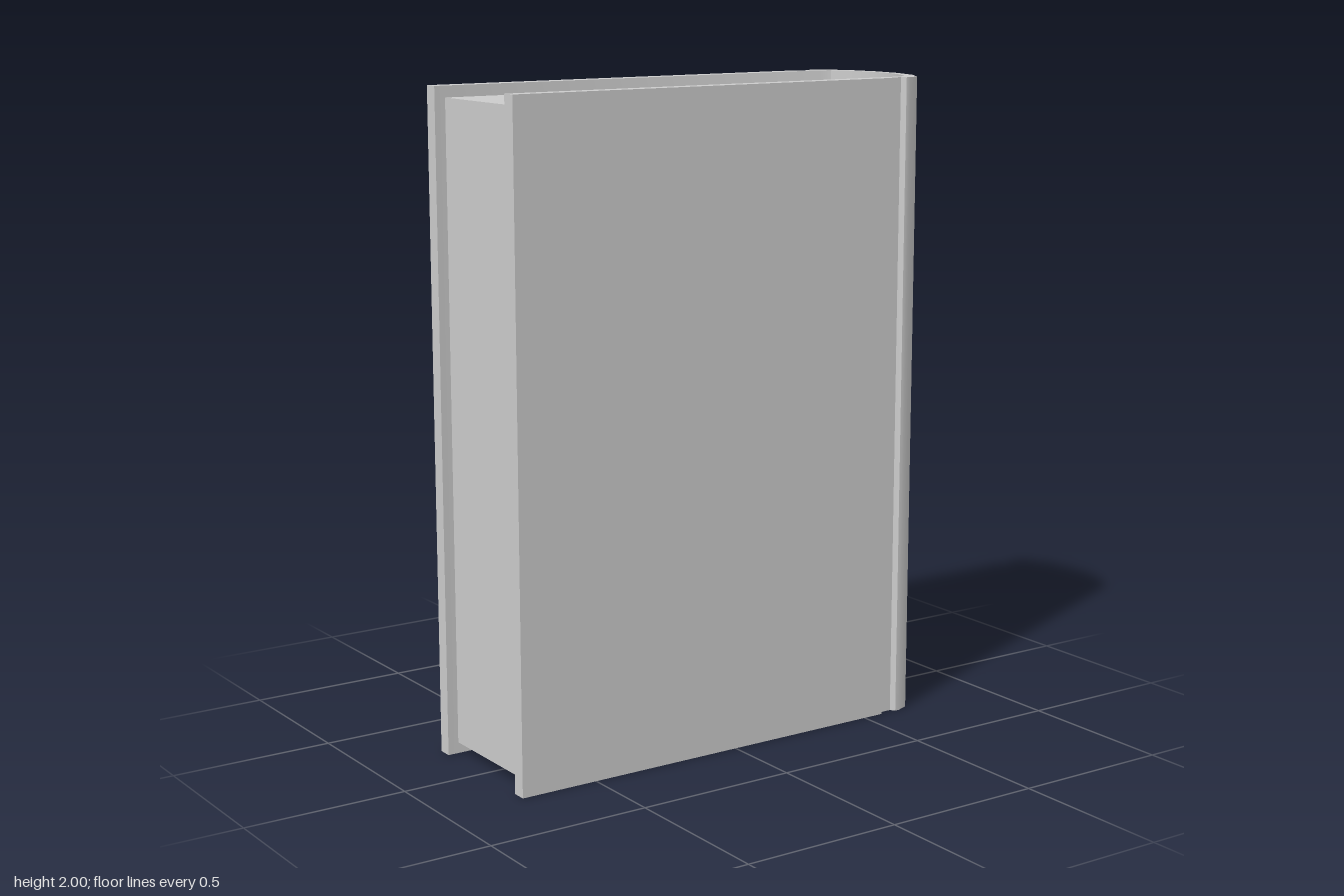
import * as THREE from 'three';
import { toCreasedNormals } from 'three/addons/utils/BufferGeometryUtils.js';

const HEIGHT = 2;
const INSET = 0.034; // how far the pages sit back from the cover edges
const COVER_EDGE = -0.748;

// Half outlines [x, z], from the fore edge round to the middle of the spine
const outerHalf = [
  [COVER_EDGE, 0.242], [0.568, 0.242], [0.578, 0.227], [0.614, 0.227], [0.624, 0.242],
  [0.638, 0.242], [0.678, 0.226], [0.722, 0.149], [0.746, 0.053],
];
const spineInnerHalf = [[0.636, 0.198], [0.664, 0.182], [0.7, 0.117], [0.72, 0.046]];

// Completes a half outline with its mirror image
const mirrored = (half) => [...half, ...half.map(([x, z]) => [x, -z]).reverse()];

// Extrudes an outline upwards, smoothing the round spine but keeping sharp edges
function upright(points, bottom, top) {
  const shape = new THREE.Shape(points.map(([x, z]) => new THREE.Vector2(x, z)));
  const geometry = new THREE.ExtrudeGeometry(shape, { depth: top - bottom, bevelEnabled: false });
  geometry.rotateX(-Math.PI / 2).translate(0, bottom, 0);
  return toCreasedNormals(geometry, THREE.MathUtils.degToRad(30));
}

export function createModel() {
  const book = new THREE.Group();
  book.name = 'book';
  const material = new THREE.MeshStandardMaterial({ color: 0xcccccc });

  // Cover: two boards, hinge grooves and rounded spine in one open wrap
  const innerWrap = mirrored([[COVER_EDGE, 0.198], ...spineInnerHalf]).reverse();
  const cover = new THREE.Mesh(upright([...mirrored(outerHalf), ...innerWrap], 0, HEIGHT), material);
  cover.name = 'cover';

  // Page block, filling the cover but set back at top, bottom and fore edge
  const pageOutline = mirrored([[COVER_EDGE + INSET, 0.198], ...spineInnerHalf]);
  const pages = new THREE.Mesh(upright(pageOutline, INSET, HEIGHT - INSET), material);
  pages.name = 'pages';

  book.add(cover, pages);
  return book;
}
